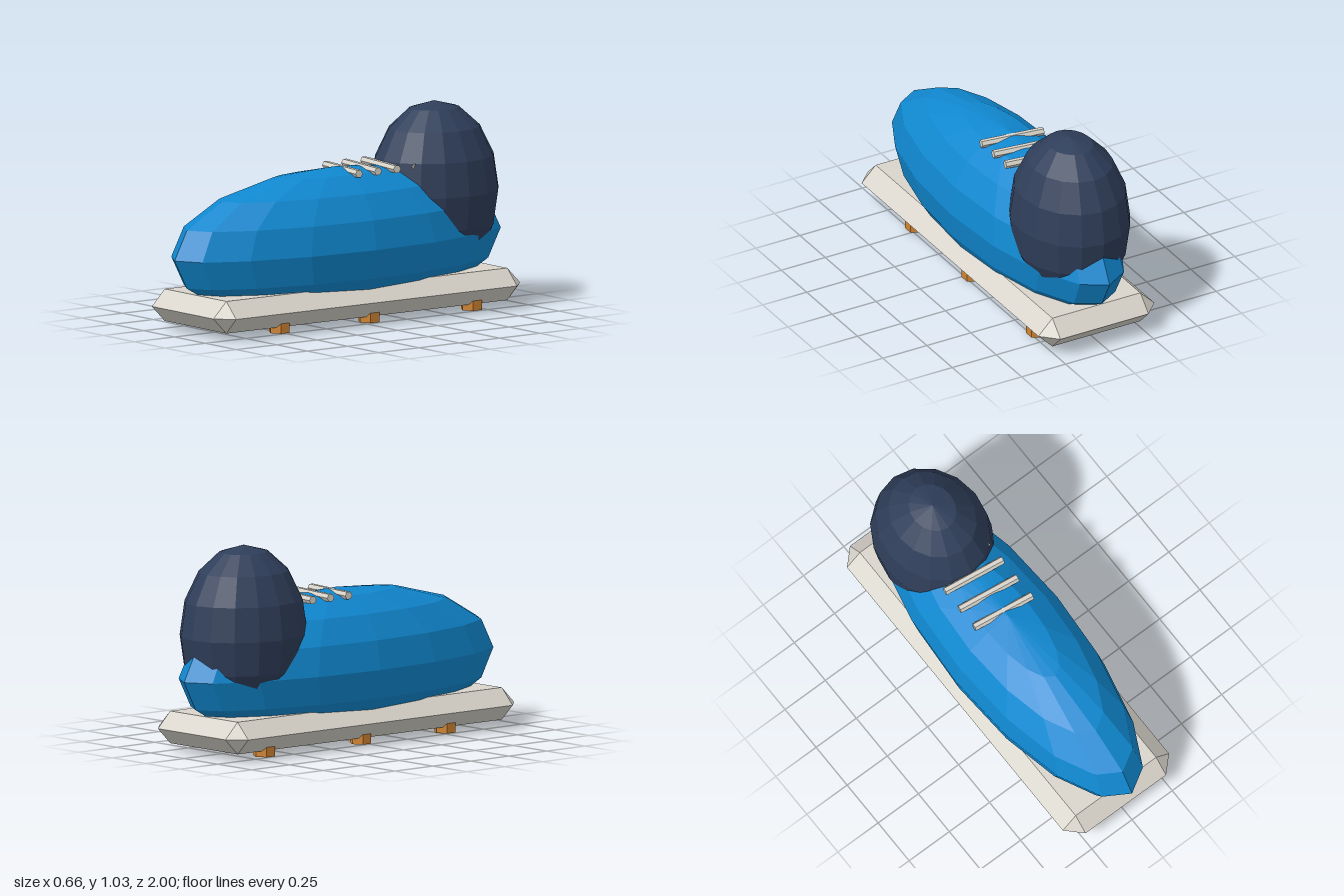
import * as THREE from 'three';
import { ConvexGeometry } from 'three/addons/geometries/ConvexGeometry.js';

function material(name, color) {
  const m = new THREE.MeshStandardMaterial({ color, flatShading: true });
  m.name = name;
  return m;
}

export function createModel() {
  const blue = material('blue upper', 0x1088d0);
  const navy = material('navy collar', 0x2f3e5a);
  const offWhite = material('off-white', 0xd9d5cc);
  const orange = material('orange studs', 0xd08432);

  const shoe = new THREE.Group();
  shoe.name = 'shoe';

  function add(name, geometry, mat, x, y, z) {
    const mesh = new THREE.Mesh(geometry, mat);
    mesh.name = name;
    mesh.position.set(x, y, z);
    shoe.add(mesh);
    return mesh;
  }

  // Long faceted upper and the rounded ankle collar
  const ball = new THREE.SphereGeometry(1, 16, 8);
  add('upper', ball, blue, 0, 0.382, 0).scale.set(0.33, 0.378, 1);
  add('collar', ball, navy, 0, 0.585, -0.608).scale.set(0.288, 0.445, 0.34);

  // Sole: a slab whose chamfers meet in a sharp edge at mid height
  const points = [];
  for (const sx of [-1, 1]) {
    for (const sz of [-1, 1]) {
      points.push(
        new THREE.Vector3(sx * 0.25, 0.08, sz * 0.87),
        new THREE.Vector3(sx * 0.25, -0.08, sz * 0.87),
        new THREE.Vector3(sx * 0.33, 0, sz * 0.87),
        new THREE.Vector3(sx * 0.25, 0, sz * 0.95)
      );
    }
  }
  add('sole', new ConvexGeometry(points), offWhite, 0, 0.12, 0);

  // Six hexagonal studs under the sole
  const stud = new THREE.CylinderGeometry(0.055, 0.055, 0.06, 6);
  for (const z of [0.52, -0.035, -0.67]) {
    for (const side of [-1, 1]) add('stud', stud, orange, side * 0.222, 0.04, z);
  }

  // Slanted lace bars, the last one mostly inside the collar
  const lace = new THREE.CylinderGeometry(0.021, 0.021, 0.33, 6);
  for (let i = 0; i < 4; i++) {
    const bar = add('lace', lace, offWhite, 0, 0.74, -0.04 - i * 0.118);
    bar.rotation.set(0, -0.13, Math.PI / 2);
  }
  return shoe;
}
